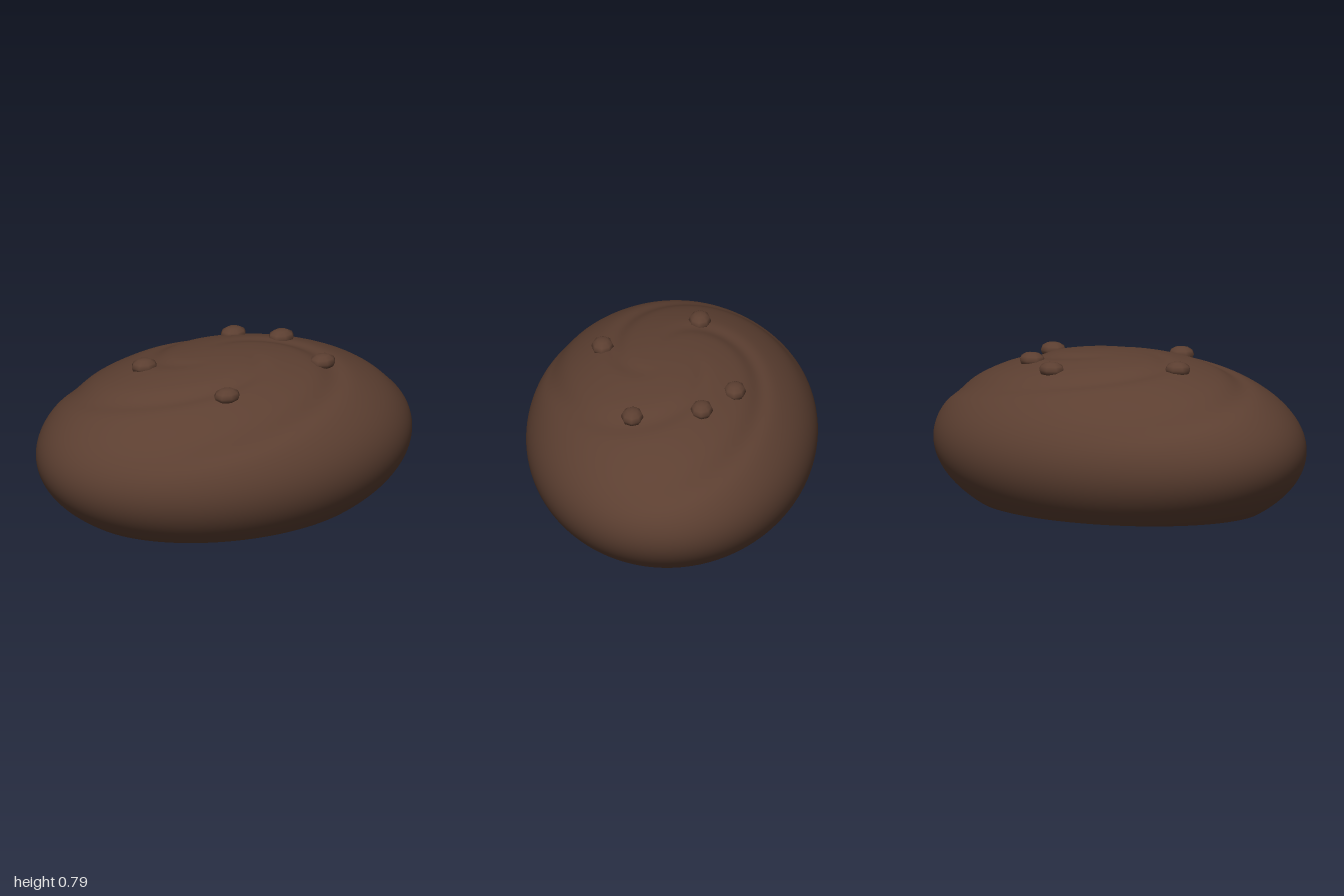
import * as THREE from 'three';
import { mergeVertices } from 'three/addons/utils/BufferGeometryUtils.js';

const RX = 1, RY = 0.48, RZ = 0.74, CY = 0.31; // body radii and centre height

const surfaceY = (x, z) => CY + RY * Math.sqrt(Math.max(0, 1 - (x / RX) ** 2 - (z / RZ) ** 2));

// Depth of the shallow three-armed swirl pressed into the upper surface
function swirlDepth(nx, nz) {
  const r = Math.hypot(nx, nz);
  const pitch = (0.22 * Math.PI * 2) / 3;
  let d = (r - 0.7 - 0.22 * (Math.atan2(nz, nx) - Math.PI)) / pitch;
  d = (d - Math.round(d)) * pitch;
  const fade = THREE.MathUtils.smoothstep(r, 0.1, 0.45) * (1 - THREE.MathUtils.smoothstep(r, 0.85, 1));
  return 0.016 * fade * Math.exp(-((d / 0.07) ** 2));
}

export function createModel() {
  const group = new THREE.Group();
  const chocolate = new THREE.MeshStandardMaterial({ color: 0x5c3f31 });
  chocolate.name = 'chocolate brown';

  const add = (name, geometry) => {
    const mesh = new THREE.Mesh(geometry, chocolate);
    mesh.name = name;
    group.add(mesh);
    return mesh;
  };

  // Domed body, cut flat at the ground
  let dome = new THREE.SphereGeometry(1, 144, 110, 0, Math.PI * 2, 0, Math.acos(-CY / RY));
  dome.deleteAttribute('uv');
  dome.deleteAttribute('normal');
  dome = mergeVertices(dome, 1e-5);
  const p = dome.attributes.position;
  for (let i = 0; i < p.count; i++) {
    const x = p.getX(i), y = p.getY(i), z = p.getZ(i);
    const dip = y > 0 ? swirlDepth(x, z) : 0;
    p.setXYZ(i, x * RX, CY + y * RY - dip, z * RZ);
  }
  dome.computeVertexNormals();
  add('body', dome);

  // Flat underside
  const rim = Math.sqrt(1 - (CY / RY) ** 2);
  const base = new THREE.CircleGeometry(rim, 144);
  base.rotateX(Math.PI / 2).scale(RX, 1, RZ);
  add('base', base);

  // Small flattened chips resting on top
  const chip = new THREE.SphereGeometry(0.07, 8, 6).scale(1, 0.58, 0.82);
  const spots = [[0.215, -0.335], [0.41, -0.18], [0.475, 0.17], [-0.16, 0.365], [-0.395, -0.115]];
  spots.forEach(([x, z], i) => {
    add('chip' + (i + 1), chip).position.set(x, surfaceY(x, z) + 0.004, z);
  });

  return group;
}
